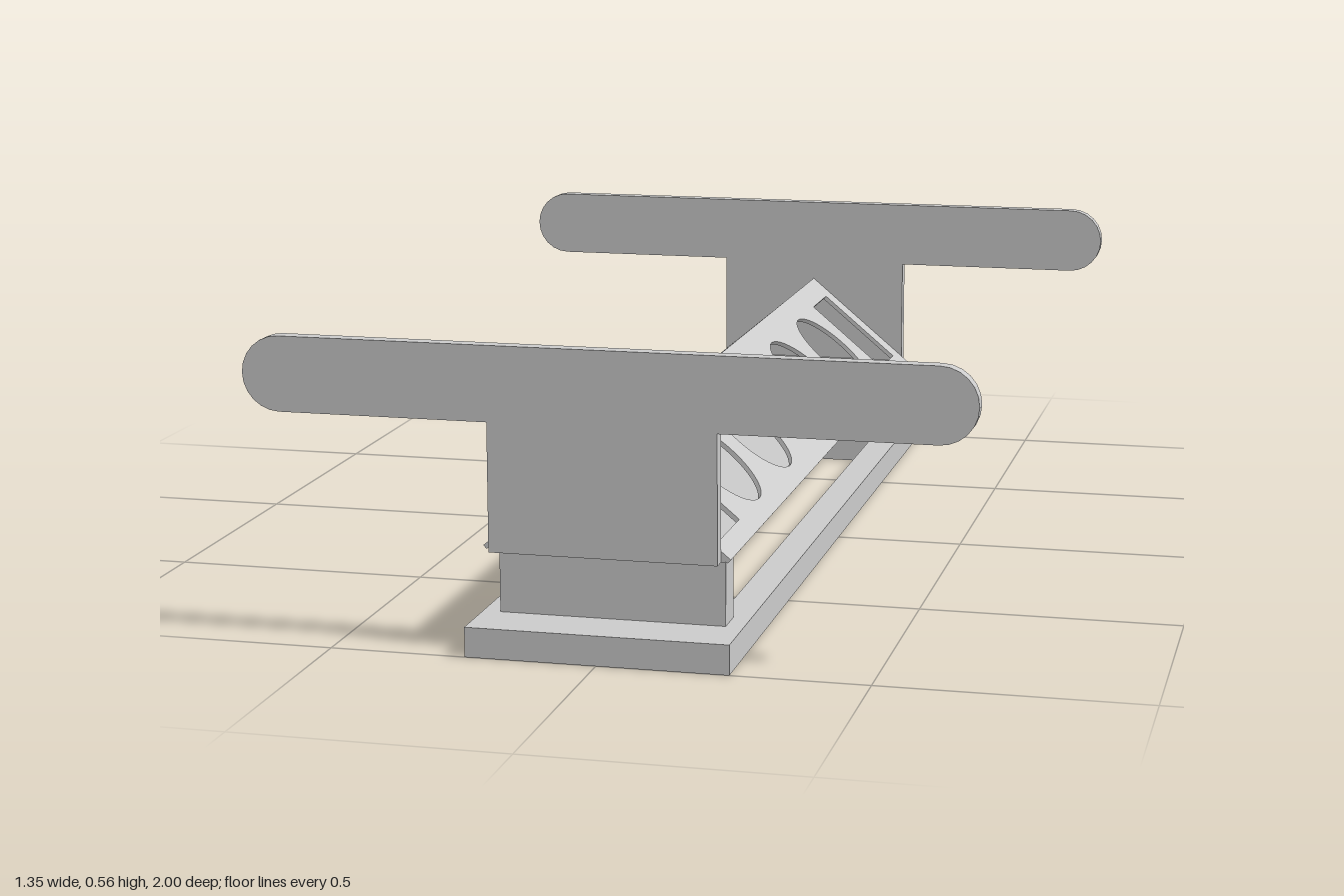
import * as THREE from 'three';

const material = new THREE.MeshStandardMaterial({ color: 0xcccccc, flatShading: true });

function add(parent, name, geometry, x = 0, y = 0, z = 0) {
  const mesh = new THREE.Mesh(geometry, material);
  mesh.name = name;
  mesh.position.set(x, y, z);
  parent.add(mesh);
  return mesh;
}

// Counter-clockwise rectangle, usable as an outline or a hole
function rectangle(Kind, x0, y0, x1, y1) {
  const path = new Kind();
  path.moveTo(x0, y0).lineTo(x1, y0).lineTo(x1, y1).lineTo(x0, y1).closePath();
  return path;
}

const extrude = (shape, depth, curveSegments = 40) =>
  new THREE.ExtrudeGeometry(shape, { depth, bevelEnabled: false, curveSegments });

// Sloped sheet with a row of round holes and a rectangular one at each end
function slopedPanelGeometry(thickness) {
  const shape = rectangle(THREE.Shape, -0.925, -0.144, 0.925, 0.157);
  for (let i = -2; i <= 2; i++) {
    const hole = new THREE.Path();
    hole.absarc(i * 0.28, 0, 0.105, 0, Math.PI * 2);
    shape.holes.push(hole);
  }
  for (const s of [-1, 1]) {
    shape.holes.push(rectangle(THREE.Path, s * 0.803 - 0.073, -0.105, s * 0.803 + 0.073, 0.105));
  }
  const angle = THREE.MathUtils.degToRad(40);
  const c = Math.cos(angle), n = Math.sin(angle);
  const basis = new THREE.Matrix4().makeBasis(
    new THREE.Vector3(0, 0, -1), new THREE.Vector3(-c, n, 0), new THREE.Vector3(n, c, 0));
  return extrude(shape, thickness)
    .translate(0, 0, -thickness)
    .applyMatrix4(basis)
    .translate(0.12, 0.283, 0);
}

// T-shaped plate with rounded arm ends
function endPlateGeometry() {
  const shape = new THREE.Shape();
  shape.moveTo(-0.212, 0.185);
  shape.lineTo(0.212, 0.185);
  shape.lineTo(0.212, 0.425);
  shape.absarc(0.605, 0.495, 0.07, -Math.PI / 2, Math.PI / 2);
  shape.absarc(-0.605, 0.495, 0.07, Math.PI / 2, Math.PI * 1.5);
  shape.lineTo(-0.212, 0.425);
  shape.closePath();
  return extrude(shape, 0.028, 6);
}

export function createModel() {
  const model = new THREE.Group();
  model.name = 'perforatedRack';

  // Base frame with a long opening
  const base = rectangle(THREE.Shape, -0.245, -1, 0.245, 1);
  base.holes.push(rectangle(THREE.Path, -0.185, -0.7, 0.185, 0.7));
  add(model, 'baseFrame', extrude(base, 0.056).rotateX(-Math.PI / 2));

  // Triangular trough: floor and two perforated slopes
  add(model, 'troughFloor', new THREE.BoxGeometry(0.44, 0.01, 1.85), 0, 0.19, 0);
  const slope = slopedPanelGeometry(0.009);
  add(model, 'leftSlopedPanel', slope);
  add(model, 'rightSlopedPanel', slope).rotation.y = Math.PI;

  // Supports and end plates, mirrored front to back
  const post = new THREE.BoxGeometry(0.424, 0.13, 0.063);
  const plate = endPlateGeometry();
  for (const [side, s] of [['front', 1], ['back', -1]]) {
    add(model, side + 'Support', post, 0, 0.121, s * 0.856);
    add(model, side + 'EndPlate', plate, 0, 0, s > 0 ? 0.925 : -0.953);
  }
  return model;
}
